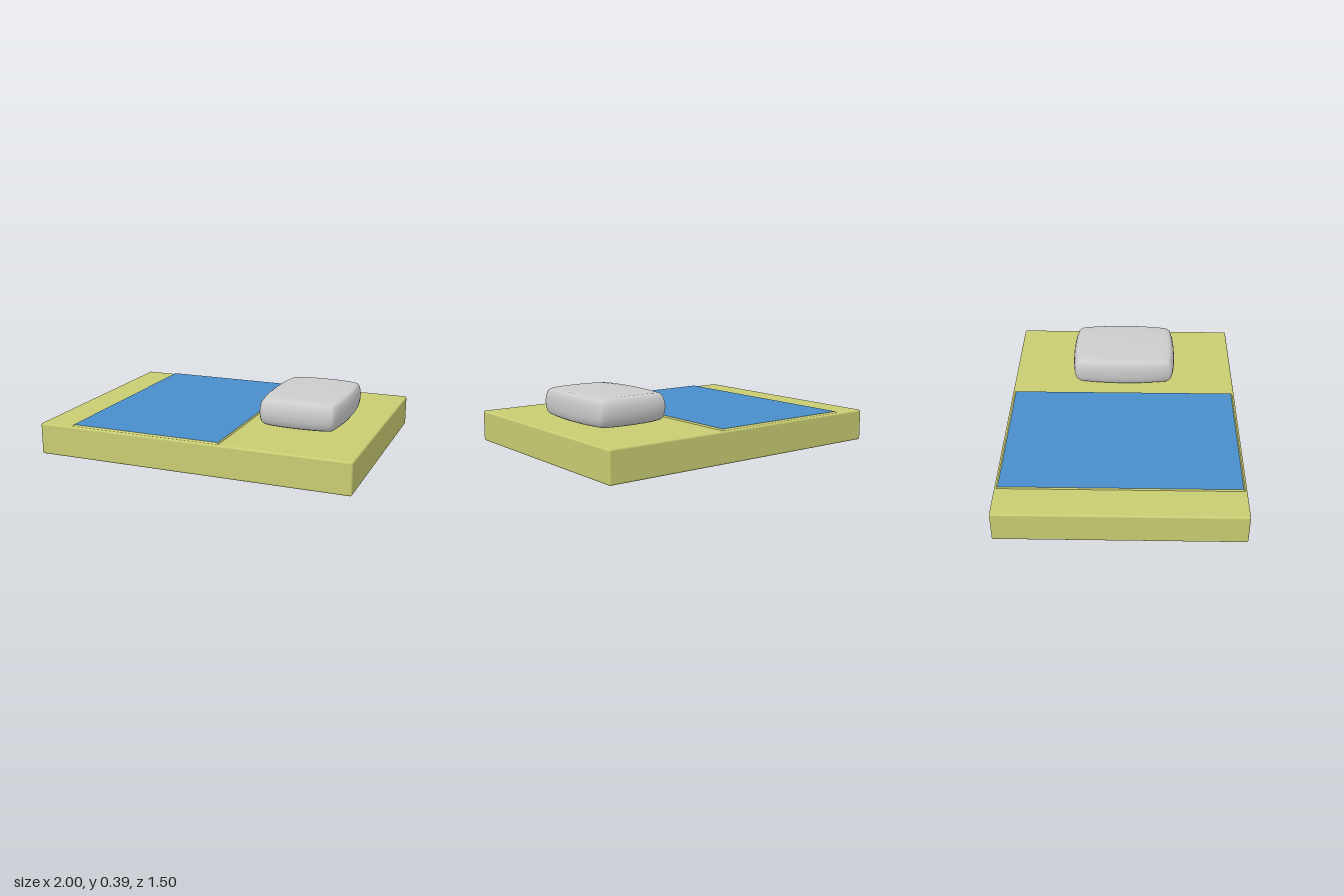
import * as THREE from 'three';
import { mergeVertices } from 'three/addons/utils/BufferGeometryUtils.js';
import { RoundedBoxGeometry } from 'three/addons/geometries/RoundedBoxGeometry.js';

const material = (name, color) => {
  const m = new THREE.MeshStandardMaterial({ color });
  m.name = name;
  return m;
};

// Moves every vertex of a geometry by a rule, then smooths the normals.
function reshape(geometry, rule) {
  const p = geometry.attributes.position;
  const v = new THREE.Vector3();
  for (let i = 0; i < p.count; i++) {
    rule(v.fromBufferAttribute(p, i));
    p.setXYZ(i, v.x, v.y, v.z);
  }
  geometry.computeVertexNormals();
  return geometry;
}

// Soft cushion: a rounded box whose faces bulge in the middle.
function cushionGeometry(half, radius) {
  const box = new THREE.BoxGeometry(2, 2, 2, 8, 8, 8);
  box.deleteAttribute('normal');
  box.deleteAttribute('uv');
  const inner = half.clone().subScalar(radius);
  const core = new THREE.Vector3();
  return reshape(mergeVertices(box), (v) => {
    // gather the grid lines near the edges
    v.set(...v.toArray().map((t) => Math.sin((t * Math.PI) / 2))).multiply(half);
    // round the edges
    core.copy(v).clamp(inner.clone().negate(), inner);
    v.sub(core).setLength(radius).add(core);
    // bulge the faces
    const [a, b, c] = v.clone().divide(half).toArray().map((t) => 1 - t * t);
    v.x *= 1 + 0.06 * b + 0.11 * c;
    v.y *= 1 + 0.05 * a + 0.05 * c;
    v.z *= 1 + 0.08 * b + 0.05 * a;
  });
}

export function createModel() {
  const bed = new THREE.Group();
  bed.name = 'bed';
  const cream = material('mattress yellow', 0xc9cc72);
  const blue = material('blanket blue', 0x4a8ecb);
  const white = material('pillow grey', 0xcccccc);

  const add = (name, geometry, mat, x, y, z) => {
    const mesh = new THREE.Mesh(geometry, mat);
    mesh.name = name;
    mesh.position.set(x, y, z);
    bed.add(mesh);
  };

  add('mattress', new RoundedBoxGeometry(2, 0.2, 1.5, 3, 0.012), cream, 0, 0.1, 0);

  // Raised blanket panel: sloped yellow rim, blue top face
  const panel = reshape(new THREE.BoxGeometry(0.965, 0.012, 1.455), (v) => {
    if (v.y < 0) {
      v.x += Math.sign(v.x) * 0.006;
      v.z += Math.sign(v.z) * 0.012;
    }
  });
  add('blanket', panel, [cream, cream, blue, cream, cream, cream], -0.29, 0.204, 0);

  add('pillow', cushionGeometry(new THREE.Vector3(0.225, 0.086, 0.31), 0.032), white, 0.537, 0.298, 0);

  return bed;
}
